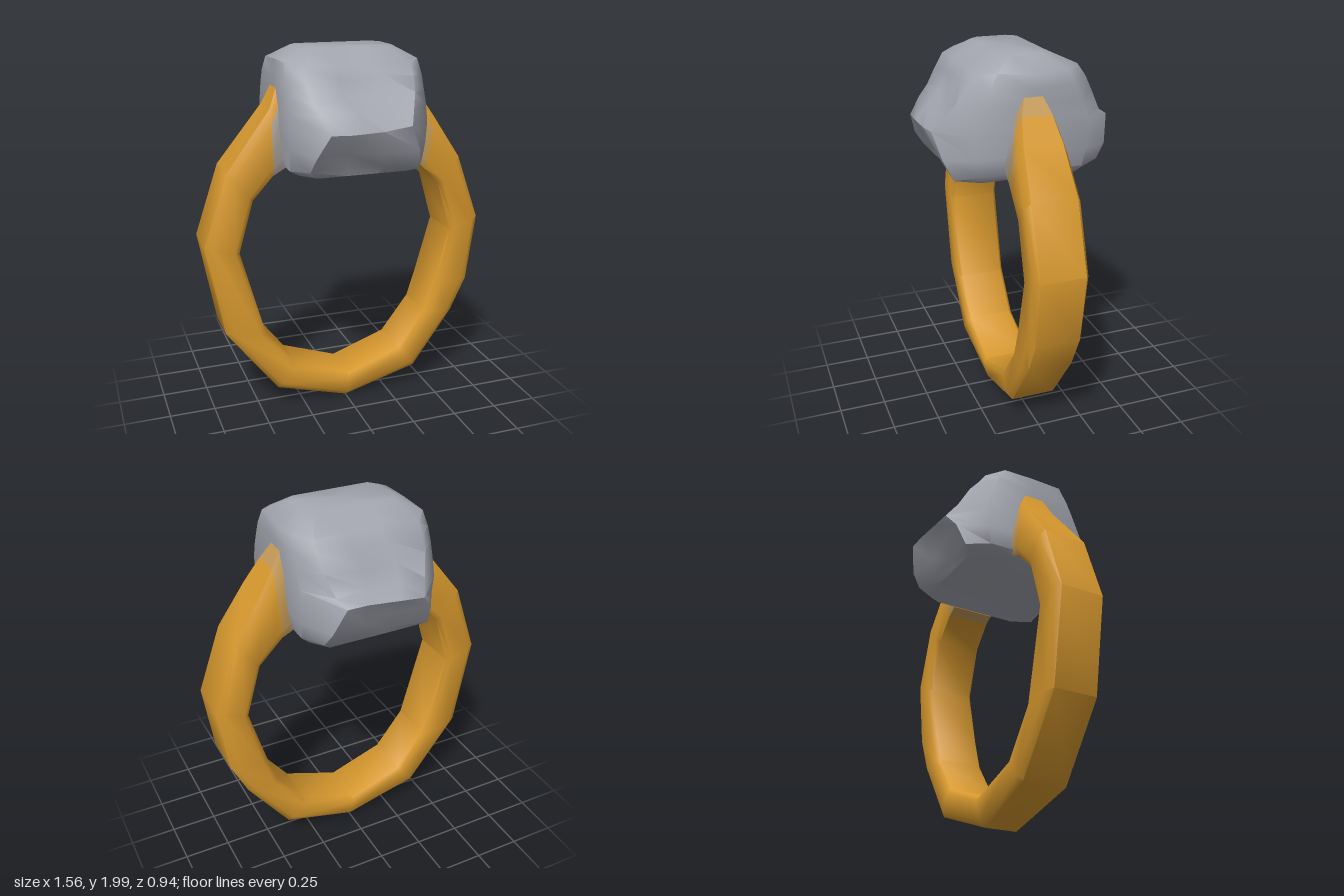
import * as THREE from 'three';
import { toCreasedNormals } from 'three/addons/utils/BufferGeometryUtils.js';

const material = (name, color) => {
  const m = new THREE.MeshStandardMaterial({ color });
  m.name = name;
  return m;
};
const gold = material('gold', 0xd8992e);
const stoneGrey = material('stone grey', 0xa3a5af);
const paleGold = material('pale gold', 0xc49b58);
const warmGrey = material('warm grey', 0xaaa29a);

// Skins closed cross-sections, caps both ends; paint(segment, side) picks a material index
function loft(rings, crease, paint = () => 0) {
  const n = rings[0].length, pos = rings.flat(2), index = [];
  const g = new THREE.BufferGeometry();
  for (let i = 0; i < rings.length - 1; i++) {
    for (let j = 0; j < n; j++) {
      const k = (j + 1) % n;
      const a = i * n + j, b = i * n + k, c = b + n, d = a + n;
      g.addGroup(index.length, 6, paint(i, j));
      index.push(a, d, c, a, c, b);
    }
  }
  g.addGroup(index.length, n * 6, 0);
  [0, rings.length - 1].forEach((r, end) => {
    const centre = pos.length / 3;
    for (let m = 0; m < 3; m++) pos.push(rings[r].reduce((s, p) => s + p[m], 0) / n);
    for (let j = 0; j < n; j++) {
      const a = r * n + j, b = r * n + (j + 1) % n;
      index.push(centre, end ? b : a, end ? a : b);
    }
  });
  g.setAttribute('position', new THREE.Float32BufferAttribute(pos, 3));
  g.setIndex(index);
  return toCreasedNormals(g, crease);
}

// Band stations: outer x, y, inner x, y, outer width factor
const stations = [
  [-0.34, 1.86, -0.34, 1.40, 0.3],
  [-0.41, 1.70, -0.41, 1.36, 0.75],
  [-0.65, 1.39, -0.52, 1.24, 1],
  [-0.78, 1.01, -0.60, 0.96, 1],
  [-0.69, 0.51, -0.47, 0.48, 1],
  [-0.41, 0.14, -0.31, 0.27, 1],
  [0, 0.005, 0, 0.16, 0.75],
  [0.41, 0.14, 0.31, 0.27, 1],
  [0.64, 0.46, 0.47, 0.48, 1],
  [0.73, 0.65, 0.52, 0.64, 1],
  [0.78, 1.02, 0.61, 0.96, 1],
  [0.65, 1.38, 0.53, 1.24, 1],
  [0.50, 1.61, 0.44, 1.33, 0.85],
  [0.42, 1.73, 0.40, 1.37, 0.65],
  [0.34, 1.85, 0.34, 1.40, 0.3],
];

// Bevelled band section: inner-to-outer fraction, half width
const bevel = [[1, -0.12], [1, 0.12], [0.78, 0.145], [0.15, 0.145],
  [0, 0.125], [0, -0.125], [0.15, -0.145], [0.78, -0.145]];

const bandRing = ([ox, oy, ix, iy, w]) => bevel.map(([t, z]) => [
  ix + (ox - ix) * t,
  iy + (oy - iy) * t,
  z * (t === 1 ? w : t > 0.5 ? 0.4 + 0.6 * w : 1),
]);

// Gold fades to grey on the shoulders: sides 0, 1, 7 are the crest, 2 and 3 the front
function shoulderPaint(segment, side) {
  const crest = side < 2 || side === 7, front = side === 2 || side === 3;
  if (segment === 0) return crest ? 0 : front ? 2 : 1;
  if (segment === stations.length - 2) return front ? 2 : 1;
  return segment === stations.length - 3 && front ? 1 : 0;
}

// Stone levels: y, half x, half z, flat half x, flat half z
const levels = [
  [1.385, 0.31, 0.34, 0.24, 0.25],
  [1.42, 0.36, 0.385, 0.29, 0.27],
  [1.52, 0.365, 0.435, 0.27, 0.29],
  [1.63, 0.367, 0.47, 0.21, 0.30],
  [1.70, 0.367, 0.412, 0.24, 0.28],
  [1.78, 0.367, 0.355, 0.27, 0.25],
  [1.86, 0.365, 0.31, 0.28, 0.22],
  [1.925, 0.355, 0.265, 0.28, 0.18],
  [1.998, 0.25, 0.13, 0.21, 0.08],
];

// Octagon with hewn dents across its front and back
function stoneRing([y, hx, hz, sx, sz], i, random) {
  const half = [[hx, 0], [hx, sz], [sx, hz], [0.35 * sx, hz], [-0.35 * sx, hz],
    [-sx, hz], [-hx, sz]];
  const outline = [...half, ...half.map(([x, z]) => [-x, -z])];
  const rough = i > 0 && i < levels.length - 1 ? 1 : 0;
  return outline.map(([x, z], j) => {
    const middle = j % 7 === 3 || j % 7 === 4;
    const dent = middle && i !== 3 ? 1 - 0.09 * random() * rough : 1;
    const lift = (random() - 0.5) * 0.035 * rough;
    return [x + (middle ? lift * 2 : 0), y + lift, z * dent];
  });
}

function seeded(seed) {
  return () => {
    seed = (seed * 16807) % 2147483647;
    return seed / 2147483647;
  };
}

export function createModel() {
  const model = new THREE.Group();
  model.name = 'ring';
  const add = (name, geometry, materials) => {
    const mesh = new THREE.Mesh(geometry, materials);
    mesh.name = name;
    model.add(mesh);
  };

  // Band with fading shoulders
  add('band', loft(stations.map(bandRing), 1, shoulderPaint), [gold, paleGold, warmGrey]);

  // Rough-cut stone
  const random = seeded(417);
  add('stone', loft(levels.map((l, i) => stoneRing(l, i, random)), 0.9), [stoneGrey]);
  return model;
}
